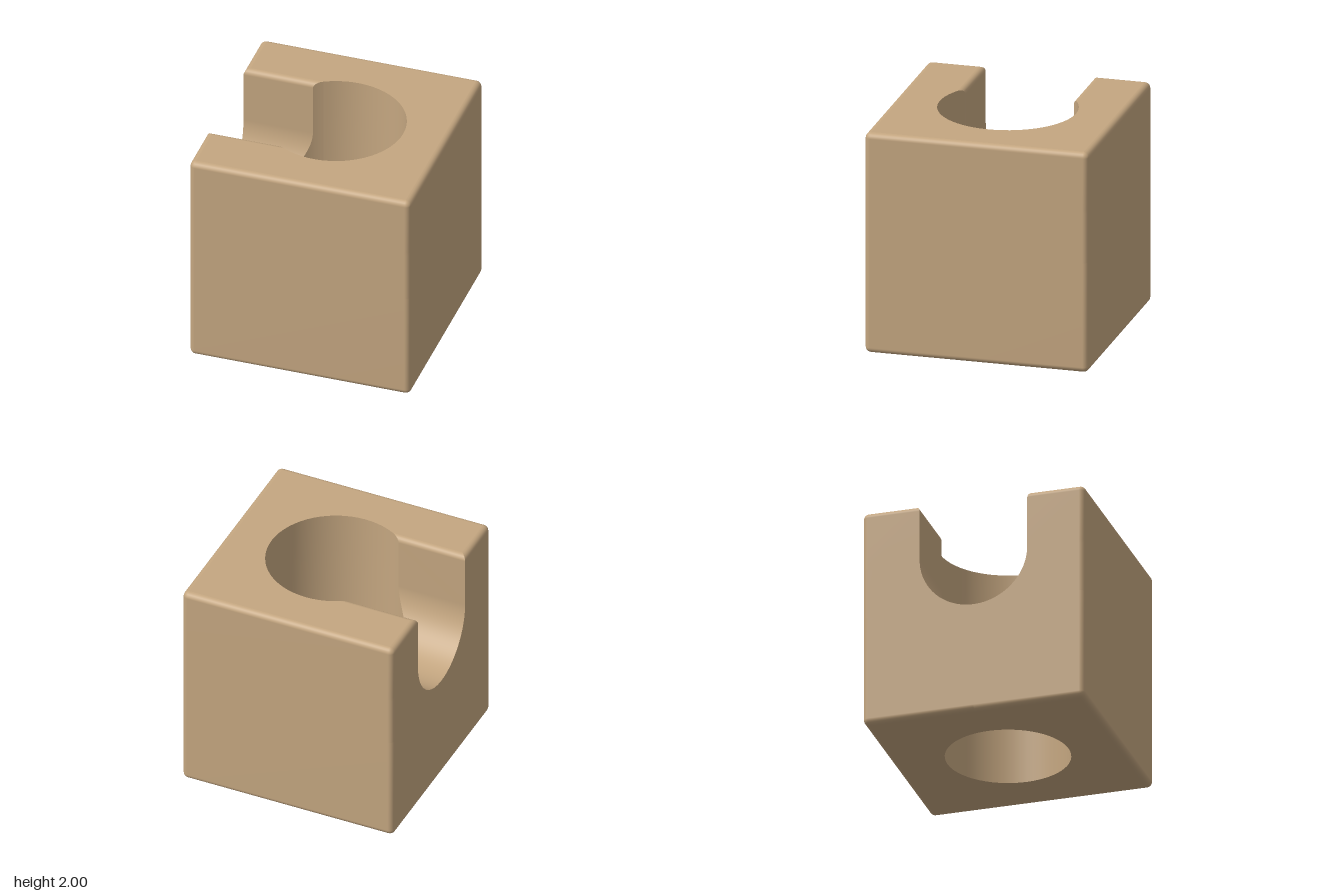
import * as THREE from 'three';

const EDGE = 0.05;            // rounding of all outer edges and slot lips
const SLOT = 0.485;           // slot half width and floor radius
const SLOT_Y = 1.485;         // height of the slot floor's centre
const BORE = 0.545;           // lower bore radius
const SEAT = 0.61;            // wider upper bore radius
const LEDGE_Y = SLOT_Y - SLOT;

// Surface through rows of points; it faces (column direction) x (row direction)
function loft(rows) {
  const n = rows[0].length, index = [];
  for (let i = 0; i < rows.length - 1; i++) {
    for (let j = 0; j < n - 1; j++) {
      const a = i * n + j, b = a + 1, c = b + n, d = a + n;
      index.push(a, b, c, a, c, d);
    }
  }
  const g = new THREE.BufferGeometry();
  g.setAttribute('position', new THREE.Float32BufferAttribute(rows.flat(2), 3));
  g.setIndex(index);
  g.computeVertexNormals();
  return g;
}

// Outline of the block at height y, inset by d, open by +-w on the slot side
function outline([y, w, d]) {
  const steps = 6, c = 1 - EDGE, r = EDGE - d;
  const ring = [[-1 + d, y, w]];
  [[-1, 1], [1, 1], [1, -1], [-1, -1]].forEach(([sx, sz], k) => {
    for (let i = 0; i <= steps; i++) {
      const a = Math.PI - (k + i / steps) * Math.PI / 2;
      ring.push([sx * c + r * Math.cos(a), y, sz * c + r * Math.sin(a)]);
    }
  });
  ring.push([-1 + d, y, -w]);
  return ring;
}

export function createModel() {
  const group = new THREE.Group();
  const tan = new THREE.MeshStandardMaterial({ color: 0xc4a680, side: THREE.DoubleSide });
  tan.name = 'tan';
  const add = (name, geometry) => {
    const mesh = new THREE.Mesh(geometry, tan);
    mesh.name = name;
    group.add(mesh);
    return mesh;
  };

  // Half section of the slot as [height, half width, inset]: round floor, wall, rounded lip
  const section = [];
  for (let i = 0; i <= 20; i++) {
    const a = i / 20 * Math.PI / 2;
    section.push([SLOT_Y - SLOT * Math.cos(a), SLOT * Math.sin(a), 0]);
  }
  for (let i = 0; i <= 6; i++) {
    const a = i / 6 * Math.PI / 2, d = EDGE * (1 - Math.cos(a));
    section.push([2 - EDGE + EDGE * Math.sin(a), SLOT + d, d]);
  }

  // Outer walls with rounded edges
  const base = [];
  for (let i = 0; i <= 6; i++) {
    const a = i / 6 * Math.PI / 2;
    base.push([EDGE * (1 - Math.cos(a)), 0, EDGE * (1 - Math.sin(a))]);
  }
  add('outerWalls', loft([...base, ...section].map(outline)));

  // Slot running from the side into the bore
  const seatX = (w) => -Math.sqrt(SEAT * SEAT - w * w);
  const slot = [
    ...section.slice(1).reverse().map(([y, w, d]) => [y, -w, d]),
    ...section,
  ];
  add('slot', loft([
    slot.map(([y, z, d]) => [-1 + d, y, z]),
    slot.map(([y, z]) => [seatX(z), y, z]),
  ]));

  // Wide upper bore, cut away where the slot enters
  const lip = SLOT + EDGE, end = Math.atan2(lip, seatX(lip)), rim = [];
  for (let i = 0; i <= 40; i++) {
    const a = -end + 2 * end * i / 40;
    rim.push([SEAT * Math.cos(a), 2, SEAT * Math.sin(a)]);
  }
  const seatTop = [...rim, ...slot.slice().reverse().map(([y, z]) => [seatX(z), y, z])];
  add('upperBore', loft([seatTop.map(([x, , z]) => [x, LEDGE_Y, z]), seatTop]));

  // Ledge and lower bore
  const ledge = add('ledge', new THREE.RingGeometry(BORE, SEAT, 56));
  ledge.rotation.x = -Math.PI / 2;
  ledge.position.y = LEDGE_Y;
  const bore = add('lowerBore', new THREE.CylinderGeometry(BORE, BORE, LEDGE_Y, 56, 1, true));
  bore.position.y = LEDGE_Y / 2;

  // Flat top around the slot and bore
  const c = 1 - EDGE;
  const topShape = new THREE.Shape([
    [-c, -lip], [-c, -c], [c, -c], [c, c], [-c, c], [-c, lip],
    ...rim.map(([x, , z]) => [x, z]).reverse(),
  ].map(([x, y]) => new THREE.Vector2(x, y)));
  const top = add('topFace', new THREE.ShapeGeometry(topShape));
  top.rotation.x = -Math.PI / 2;
  top.position.y = 2;

  // Flat underside with the bore opening
  const bottomShape = new THREE.Shape([[-c, -c], [c, -c], [c, c], [-c, c]]
    .map(([x, y]) => new THREE.Vector2(x, y)));
  bottomShape.holes.push(new THREE.Path().absarc(0, 0, BORE, 0, Math.PI * 2, true));
  const bottom = add('bottomFace', new THREE.ShapeGeometry(bottomShape, 28));
  bottom.rotation.x = Math.PI / 2;

  return group;
}
